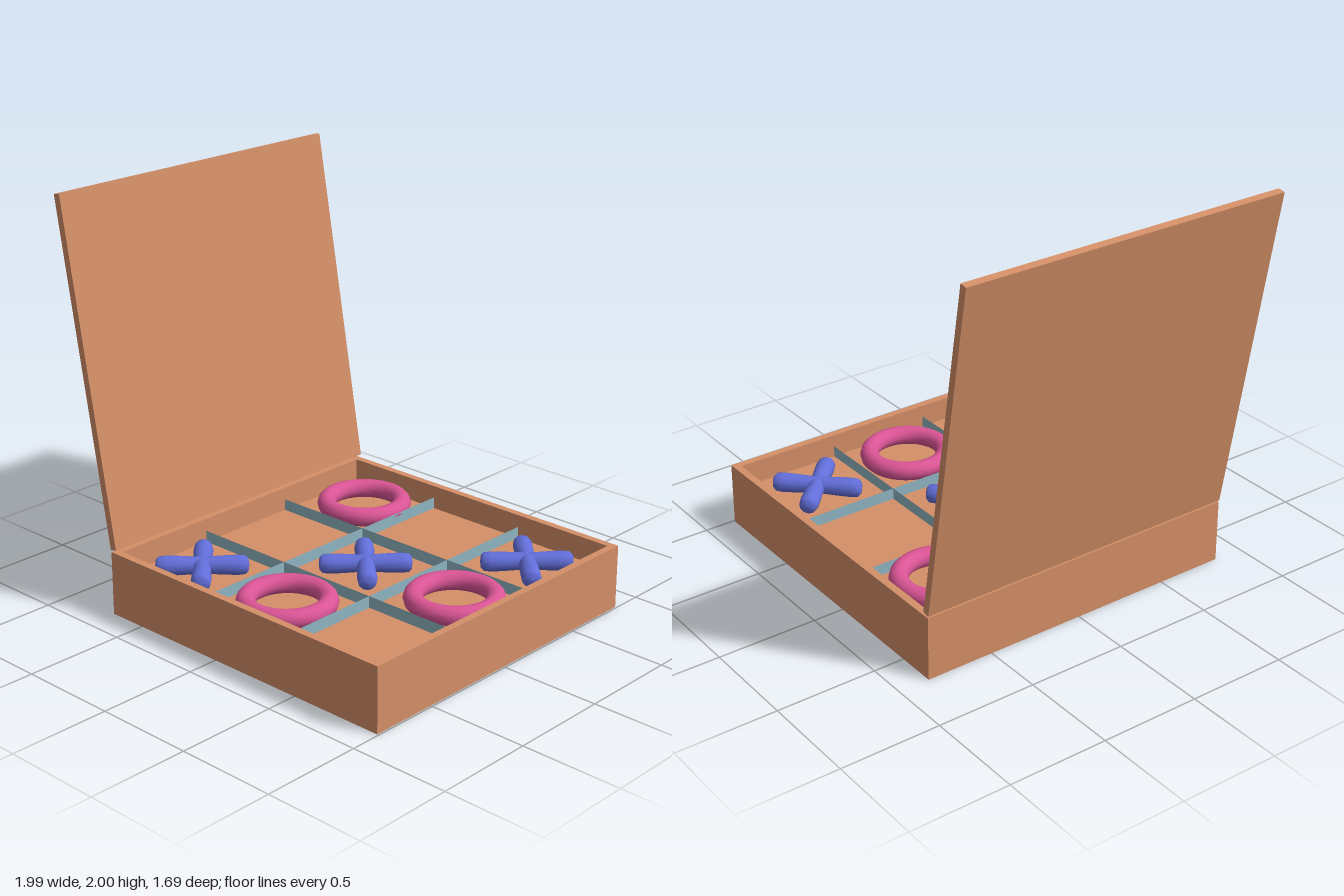
import * as THREE from 'three';

export function createModel() {
  const root = new THREE.Group();
  const wood = new THREE.MeshStandardMaterial({ color: 0xd48f67 });
  const slate = new THREE.MeshStandardMaterial({ color: 0x8fb5c2, side: THREE.DoubleSide });
  const pink = new THREE.MeshStandardMaterial({ color: 0xdb5596 });
  const blue = new THREE.MeshStandardMaterial({ color: 0x636fdb });

  const add = (parent, name, geometry, material, x = 0, y = 0, z = 0) => {
    const mesh = new THREE.Mesh(geometry, material);
    mesh.name = name;
    mesh.position.set(x, y, z);
    parent.add(mesh);
    return mesh;
  };

  const SIZE = 1.69, WALL = 0.037, HEIGHT = 0.32, FLOOR = 0.2, CELL = 0.545;
  const INNER = SIZE - 2 * WALL;

  // Tray, offset so that the leaning lid balances the width
  const tray = new THREE.Group();
  tray.name = 'tray';
  tray.position.x = 0.147;
  root.add(tray);

  // Rim walls: a square frame around the solid floor block
  const square = (s, Type) => new Type([[-s, -s], [s, -s], [s, s], [-s, s]].map(([x, y]) => new THREE.Vector2(x, y)));
  const frame = square(SIZE / 2, THREE.Shape);
  frame.holes.push(square(INNER / 2, THREE.Path));
  const walls = new THREE.ExtrudeGeometry(frame, { depth: HEIGHT, bevelEnabled: false });
  walls.rotateX(-Math.PI / 2);
  add(tray, 'walls', walls, wood);
  add(tray, 'floor', new THREE.BoxGeometry(INNER, FLOOR, INNER), wood, 0, FLOOR / 2, 0);

  // Thin upright dividers that make the three by three grid
  const strip = new THREE.PlaneGeometry(INNER, 0.058);
  for (const s of [-1, 1]) {
    add(tray, 'dividerAcross', strip, slate, 0, FLOOR + 0.029, s * CELL / 2);
    add(tray, 'dividerAlong', strip, slate, s * CELL / 2, FLOOR + 0.029, 0).rotation.y = Math.PI / 2;
  }

  // Ring pieces
  const ring = new THREE.TorusGeometry(0.19, 0.0465, 12, 48).rotateX(Math.PI / 2);
  for (const [x, z] of [[-0.507, -0.54], [0.55, 0], [0.018, 0.545]]) {
    add(tray, 'ringPiece', ring, pink, x, FLOOR + 0.0465, z);
  }

  // Cross pieces: two soft-ended rods, slightly slimmer in the middle
  const half = [[0, 0.222], [0.03, 0.218], [0.044, 0.205], [0.048, 0.17], [0.046, 0.11], [0.042, 0.04]];
  const profile = [...half.map(([r, y]) => [r, -y]), ...half.slice().reverse()];
  const rod = new THREE.LatheGeometry(profile.map(([r, y]) => new THREE.Vector2(r, y)), 12).rotateX(Math.PI / 2);
  for (const [x, z] of [[-CELL, CELL], [0, 0], [CELL - 0.005, -CELL + 0.005]]) {
    const cross = new THREE.Group();
    cross.name = 'crossPiece';
    cross.position.set(x, FLOOR + 0.047, z);
    for (const s of [-1, 1]) add(cross, 'crossArm', rod, blue).rotation.y = s * Math.PI / 4;
    tray.add(cross);
  }

  // Open lid leaning outwards
  const lid = add(root, 'lid', new THREE.BoxGeometry(WALL, SIZE, SIZE), wood, -0.83, 1.166, 0);
  lid.rotation.z = THREE.MathUtils.degToRad(10);

  return root;
}
